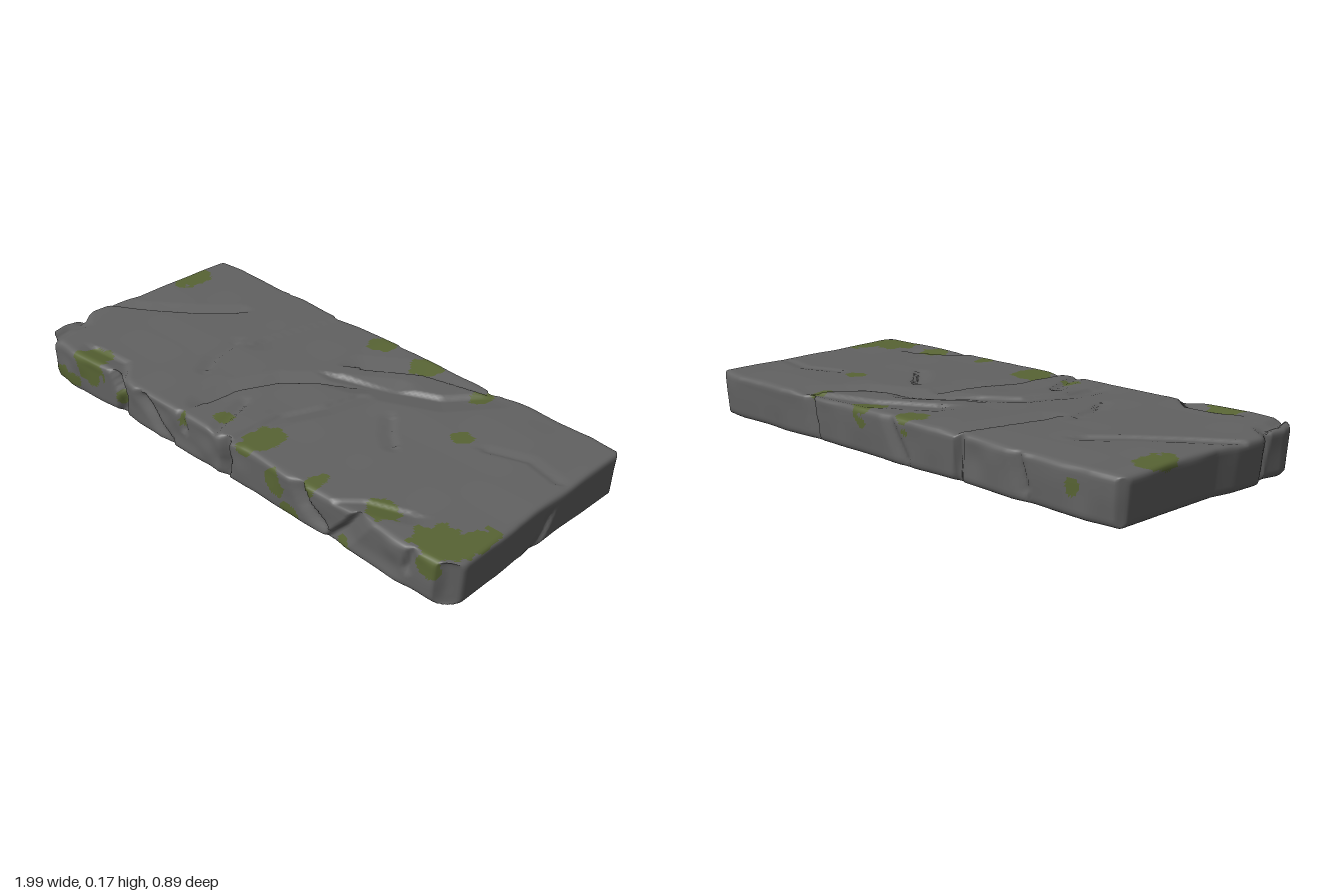
import * as THREE from 'three';
import { mergeVertices } from 'three/addons/utils/BufferGeometryUtils.js';

const HX = 0.98, HZ = 0.432, H = 0.165, EDGE = 0.022;

// Cracks as polylines: { p: points, d: depth, a: width of one flank, b: width of the other }
const crack = (d, a, b, ...p) => ({ d, a, b, p });
const topCracks = [
  crack(0.01, 0.012, 0.06, [-0.97, 0.12], [-0.83, 0.02], [-0.7, -0.08], [-0.6, -0.18]),
  crack(0.016, 0.015, 0.09, [0.46, -0.4], [0.35, -0.26], [0.2, -0.19], [0, -0.12]),
  crack(0.013, 0.07, 0.014, [0.2, -0.19], [-0.02, -0.04], [-0.12, 0.05], [-0.19, 0.2], [-0.2, 0.32]),
  crack(0.011, 0.014, 0.06, [0.14, -0.08], [0.11, 0.06], [0.05, 0.2], [0.03, 0.44]),
  crack(0.009, 0.012, 0.08, [-0.28, -0.44], [-0.33, -0.25], [-0.37, -0.1]),
  crack(0.014, 0.09, 0.014, [0.45, -0.4], [0.2, -0.34], [0.02, -0.22]),
  crack(0.008, 0.05, 0.012, [0.32, -0.05], [0.38, 0.02], [0.43, 0.06]),
  crack(0.006, 0.014, 0.04, [0.66, -0.12], [0.8, -0.17], [0.93, -0.14]),
  crack(0.01, 0.04, 0.014, [-0.1, 0.23], [-0.07, 0.32], [-0.03, 0.44]),
  crack(0.01, 0.014, 0.06, [0.72, 0.3], [0.58, 0.36], [0.5, 0.44]),
  crack(0.014, 0.016, 0.04, [-1, 0.23], [-0.94, 0.3], [-0.93, 0.44]),
  crack(0.012, 0.06, 0.014, [-0.75, 0.36], [-0.6, 0.35], [-0.5, 0.44]),
  crack(0.007, 0.05, 0.012, [-0.42, -0.02], [-0.4, 0.1], [-0.36, 0.17]),
];
const frontCracks = [
  crack(0.03, 0.012, 0.04, [0.02, 0.2], [0.03, 0.08], [0.01, -0.02]),
  crack(0.03, 0.04, 0.02, [-0.6, 0.2], [-0.54, 0.08], [-0.57, -0.02]),
  crack(0.02, 0.02, 0.05, [-0.4, 0.14], [-0.33, 0.07], [-0.27, 0.02]),
  crack(0.024, 0.06, 0.014, [0.62, 0.18], [0.56, 0.09], [0.48, 0]),
  crack(0.016, 0.03, 0.014, [-0.22, 0.18], [-0.2, 0.1]),
  crack(0.02, 0.014, 0.05, [0.36, 0.18], [0.4, 0.1], [0.47, 0.05]),
  crack(0.02, 0.014, 0.04, [-0.93, 0.18], [-0.95, 0]),
  crack(0.015, 0.03, 0.014, [0.84, 0.18], [0.82, 0.08]),
];
const backCracks = [
  crack(0.024, 0.012, 0.03, [-0.3, 0.2], [-0.29, -0.02]),
  crack(0.022, 0.04, 0.014, [0.44, 0.2], [0.41, -0.02]),
  crack(0.012, 0.05, 0.014, [-0.55, 0.2], [-0.6, 0.05]),
  crack(0.012, 0.05, 0.02, [0.03, 0.18], [-0.06, 0.03]),
];
const rightCracks = [crack(0.01, 0.05, 0.012, [-0.06, 0.08], [-0.03, 0.03], [0.02, 0])];
const leftCracks = [crack(0.02, 0.014, 0.04, [0.27, 0.2], [0.24, -0.02])];

// Moss patches: centre and radii
const moss = [
  [-0.93, 0.165, -0.24, 0.055, 0.04, 0.08], [-0.05, 0.16, -0.39, 0.05, 0.06, 0.055],
  [0.17, 0.15, -0.39, 0.055, 0.08, 0.06], [0.44, 0.16, -0.37, 0.035, 0.04, 0.05],
  [0.56, 0.16, -0.13, 0.04, 0.04, 0.035], [0.11, 0.15, 0.34, 0.065, 0.06, 0.095],
  [-0.08, 0.16, 0.34, 0.035, 0.03, 0.03], [-0.71, 0.13, 0.41, 0.08, 0.07, 0.065],
  [-0.85, 0.04, 0.43, 0.1, 0.035, 0.05], [-0.54, 0.06, 0.42, 0.03, 0.03, 0.05],
  [0.4, 0.15, 0.39, 0.03, 0.035, 0.05], [0.65, 0.165, 0.35, 0.06, 0.04, 0.055],
  [0.88, 0.165, 0.35, 0.1, 0.022, 0.08], [0.95, 0.165, 0.27, 0.06, 0.016, 0.08],
  [0.9, 0.13, 0.43, 0.05, 0.04, 0.04],
  [0.25, 0.1, 0.43, 0.04, 0.05, 0.05], [0.31, 0.02, 0.43, 0.05, 0.025, 0.05],
  [0.55, 0.02, 0.43, 0.035, 0.022, 0.05], [-0.2, 0.13, 0.43, 0.02, 0.03, 0.04],
  [-0.78, 0.1, -0.44, 0.03, 0.03, 0.04],
];

// Edge outlines as [position along edge, outward offset]
const outline = {
  front: [[-1, 0], [-0.88, 0.005], [-0.8, 0.014], [-0.65, 0.006], [-0.55, -0.008], [-0.45, 0.002], [0, 0], [0.03, -0.006], [0.3, 0.002], [0.6, -0.004], [0.8, 0.004], [1, -0.006]],
  back: [[-1, 0.002], [-0.85, 0.015], [-0.62, 0.006], [-0.54, 0.015], [-0.4, 0.004], [-0.28, -0.002], [-0.1, 0.01], [0.2, 0.004], [0.45, 0.002], [0.6, 0.012], [0.72, 0.002], [0.85, 0.01], [1, -0.01]],
  right: [[-0.45, -0.004], [0.1, 0.002], [0.2, 0.012], [0.37, 0.018], [0.45, -0.01]],
  left: [[-0.45, -0.012], [0, -0.004], [0.08, 0.012], [0.2, 0.02], [0.27, -0.006], [0.34, 0.01], [0.45, -0.02]],
};
function along(table, t) {
  let i = 0;
  while (i < table.length - 2 && t > table[i + 1][0]) i++;
  const [a, va] = table[i], [b, vb] = table[i + 1];
  return va + (vb - va) * THREE.MathUtils.clamp((t - a) / (b - a), 0, 1);
}

// Smooth value noise, -1 to 1
function hash(i, j) {
  const s = Math.sin(i * 127.1 + j * 311.7) * 43758.5453;
  return (s - Math.floor(s)) * 2 - 1;
}
function noise(x, y) {
  const i = Math.floor(x), j = Math.floor(y);
  const f = THREE.MathUtils.smoothstep(x - i, 0, 1), g = THREE.MathUtils.smoothstep(y - j, 0, 1);
  const mix = THREE.MathUtils.lerp;
  return mix(mix(hash(i, j), hash(i + 1, j), f), mix(hash(i, j + 1), hash(i + 1, j + 1), f), g);
}

// Depth carved by a set of cracks: steep on one flank, a long chiselled slope on the other
function carve(cracks, u, v) {
  let depth = 0;
  for (const { d, a, b, p } of cracks) {
    let best = 1, side = 1;
    for (let i = 0; i < p.length - 1; i++) {
      const [x0, y0] = p[i], dx = p[i + 1][0] - x0, dy = p[i + 1][1] - y0;
      const t = THREE.MathUtils.clamp(((u - x0) * dx + (v - y0) * dy) / (dx * dx + dy * dy), 0, 1);
      const dist = Math.hypot(u - x0 - dx * t, v - y0 - dy * t);
      if (dist < best) { best = dist; side = dx * (v - y0) - dy * (u - x0); }
    }
    depth = Math.max(depth, d * (1 - best / (side > 0 ? a : b)));
  }
  return depth;
}

// Chipped hollow in the middle of the underside
function underside(x, z) {
  const reach = 1 + 0.3 * noise(x * 5 + 3, z * 9);
  const fade = THREE.MathUtils.clamp(2.5 * (reach - Math.hypot(x / 0.56, z / 0.25)), 0, 1);
  const ridges = Math.abs(noise(x * 6 + z * 5, z * 14)) + 0.4 * Math.abs(noise(x * 13 + 9, z * 26 - x * 9));
  return fade * 0.045 * ridges;
}

function slabGeometry() {
  let geo = new THREE.BoxGeometry(2 * HX, H, 2 * HZ, 200, 16, 90);
  geo.clearGroups();
  geo.deleteAttribute('normal');
  geo.deleteAttribute('uv');
  geo = mergeVertices(geo, 1e-5);
  const pos = geo.attributes.position;
  const half = new THREE.Vector3(HX - EDGE, H / 2 - EDGE, HZ - EDGE), low = half.clone().negate();
  const p = new THREE.Vector3(), core = new THREE.Vector3(), n = new THREE.Vector3();
  for (let i = 0; i < pos.count; i++) {
    // Rounded edges
    p.fromBufferAttribute(pos, i);
    core.copy(p).clamp(low, half);
    n.copy(p).sub(core).normalize();
    p.copy(core).addScaledVector(n, EDGE);
    p.y += H / 2;
    const { x, y, z } = p;
    // Uneven outline
    const edgeX = x > 0 ? along(outline.right, z) : along(outline.left, z);
    const edgeZ = z > 0 ? along(outline.front, x) : along(outline.back, x);
    p.x += Math.sign(x) * edgeX * THREE.MathUtils.smoothstep(Math.abs(x), 0.8, 0.97);
    p.z += Math.sign(z) * edgeZ * THREE.MathUtils.smoothstep(Math.abs(z), 0.3, 0.43);
    // Blunt corners, more worn at the front, and slightly undercut sides
    const blunt = z > 0 ? 0.05 : 0.025;
    const cut = Math.max(0, Math.abs(x) + Math.abs(z) - (HX + HZ - blunt)) * 0.5;
    p.x -= Math.sign(x) * cut;
    p.z -= Math.sign(z) * cut;
    p.x *= 1 - 0.014 * (1 - y / H);
    p.z *= 1 - 0.014 * (1 - y / H);
    // Cracks and worn surfaces
    if (n.y > 0) p.y -= n.y * (carve(topCracks, x, z) + 0.0015 + 0.0025 * noise(x * 7, z * 7));
    if (n.y < 0) p.y -= n.y * underside(x, z);
    if (n.z > 0) p.z -= n.z * (carve(frontCracks, x, y) + 0.006 * noise(x * 13, y * 16));
    if (n.z < 0) p.z -= n.z * (carve(backCracks, x, y) + 0.005 * noise(x * 11 + 40, y * 10));
    if (n.x > 0) p.x -= n.x * (carve(rightCracks, z, y) + 0.003 * noise(z * 8, y * 8));
    if (n.x < 0) p.x -= n.x * (carve(leftCracks, z, y) + 0.004 * noise(z * 9 + 20, y * 9));
    pos.setXYZ(i, p.x, p.y, p.z);
  }
  geo.computeVertexNormals();

  // Sort faces into bare stone and moss
  const faces = [[], []], idx = geo.index.array, c = new THREE.Vector3();
  for (let f = 0; f < idx.length; f += 3) {
    c.set(0, 0, 0);
    for (let k = 0; k < 3; k++) c.add(p.fromBufferAttribute(pos, idx[f + k]));
    c.divideScalar(3);
    const rough = 1 + 0.25 * noise(c.x * 40, (c.z + c.y) * 40);
    const mossy = moss.some(([x, y, z, rx, ry, rz]) =>
      Math.hypot((c.x - x) / rx, (c.y - y) / ry, (c.z - z) / rz) < rough);
    faces[mossy ? 1 : 0].push(idx[f], idx[f + 1], idx[f + 2]);
  }
  geo.setIndex(faces[0].concat(faces[1]));
  geo.addGroup(0, faces[0].length, 0);
  geo.addGroup(faces[0].length, faces[1].length, 1);
  return geo;
}

export function createModel() {
  const stone = new THREE.MeshStandardMaterial({ color: 0x626262 });
  stone.name = 'stone';
  const green = new THREE.MeshStandardMaterial({ color: 0x586434 });
  green.name = 'moss';
  const slab = new THREE.Mesh(slabGeometry(), [stone, green]);
  slab.name = 'stoneSlab';
  const model = new THREE.Group();
  model.name = 'mossyStoneSlab';
  model.add(slab);
  return model;
}
